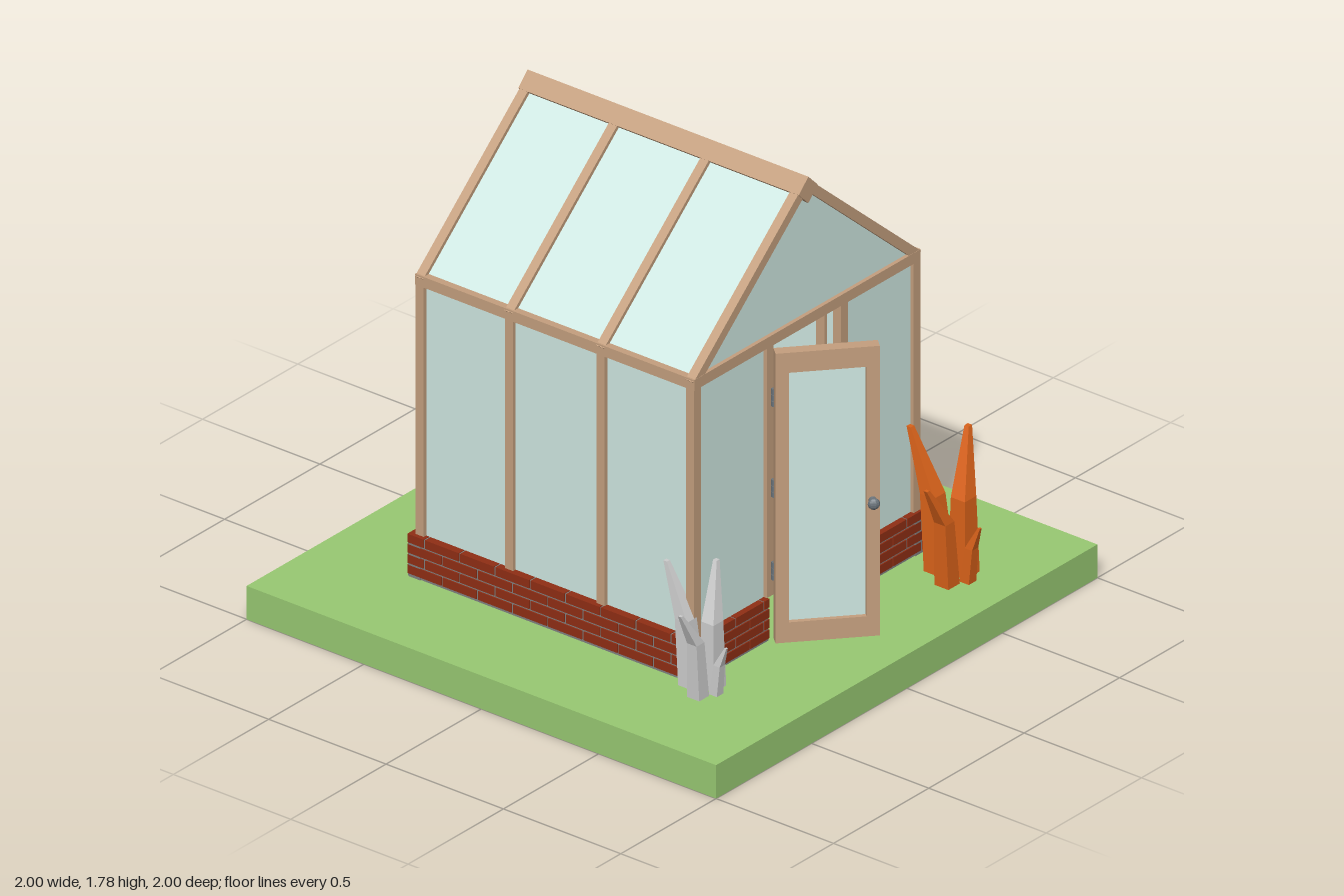
import * as THREE from 'three';

const mat = (color, extra = {}) => new THREE.MeshStandardMaterial({ color, flatShading: true, ...extra });
const M = {
  grass: mat(0x98c972), wood: mat(0xc49f7e), glass: mat(0xcfe8e2, { side: THREE.DoubleSide }),
  brick: mat(0x8f2e14), mortar: mat(0x808080), metal: mat(0x6c757c), grey: mat(0xcccccc),
  orange: mat(0xd9621a), pink: mat(0xdd96d0), pale: mat(0xcfe8e2), stem: mat(0x6f9a4c),
};

function add(parent, name, geo, material, x = 0, y = 0, z = 0) {
  const m = new THREE.Mesh(geo, material);
  m.name = name;
  m.position.set(x, y, z);
  parent.add(m);
  return m;
}
const box = (p, name, material, w, h, d, x, y, z) => add(p, name, new THREE.BoxGeometry(w, h, d), material, x, y, z);
function group(parent, name, x = 0, y = 0, z = 0) {
  const g = new THREE.Group();
  g.name = name;
  g.position.set(x, y, z);
  parent.add(g);
  return g;
}

const H = 0.576;                       // half distance between corner posts
const T = 0.035;                       // timber thickness
const BASE = 0.285, EAVE = 1.24, RIDGE = 1.747;
const GROUND = 0.125;
const posts = [-H, -0.195, 0.195, H];

// one length of low wall facing +z, mortar core with staggered bricks
function brickWall(parent, from, to) {
  const len = 0.15, gap = 0.007, rowH = 0.0385, half = 0.609;
  box(parent, 'mortar', M.mortar, to - from, 0.155, 0.05, (from + to) / 2, 0.2055, half - 0.029);
  for (let row = 0; row < 4; row++) {
    for (let a = -half - (row % 2) * len / 2; a < half; a += len) {
      const l = Math.max(a, from), r = Math.min(a + len - gap, to);
      if (r - l > 0.015) box(parent, 'brick', M.brick, r - l, rowH - gap, 0.03, (l + r) / 2, 0.135 + (row + 0.5) * rowH, half - 0.0145);
    }
  }
}

function buildBase(house) {
  for (let i = 0; i < 4; i++) {
    const wall = group(house, 'brickWall', 0, 0, -0.006);
    wall.rotation.y = i * Math.PI / 2;
    if (i === 0) {
      brickWall(wall, -0.609, -0.21);
      brickWall(wall, 0.185, 0.609);
    } else brickWall(wall, -0.609, 0.609);
  }
}

function buildWalls(house) {
  const wallH = EAVE - BASE;
  for (let i = 0; i < 4; i++) {
    const wall = group(house, 'wallFrame');
    wall.rotation.y = i * Math.PI / 2;
    // posts, the last corner belongs to the next wall
    posts.slice(0, 3).forEach(x => box(wall, 'post', M.wood, T, wallH, T, x, BASE + wallH / 2, H));
    box(wall, 'topBeam', M.wood, 2 * H + T, 0.04, T + 0.002, 0, EAVE, H);
    for (let k = 0; k < 3; k++) {
      if (i === 0 && k === 1) continue; // doorway
      const a = posts[k], b = posts[k + 1];
      box(wall, 'wallGlass', M.glass, b - a, wallH, 0.008, (a + b) / 2, BASE + wallH / 2, H);
    }
  }
}

function buildRoof(house) {
  const rise = RIDGE - 1.247, angle = Math.atan2(rise, H), len = Math.hypot(rise, H);
  for (const s of [-1, 1]) {
    const slope = group(house, 'roofSlope', s * H / 2, (RIDGE + 1.247) / 2, 0);
    slope.rotation.z = -s * angle;
    posts.forEach(z => box(slope, 'rafter', M.wood, len + 0.012, T, T, s * 0.006, 0, z));
    box(slope, 'roofGlass', M.glass, len, 0.008, 2 * H, 0, 0, 0);
  }
  const ridge = box(house, 'ridgeBeam', M.wood, 0.07, 0.07, 2 * H + 0.044, 0, 1.729, 0);
  ridge.rotation.z = Math.PI / 4;
  // triangular gable glass at both ends
  const tri = new THREE.Shape([[-H, EAVE], [H, EAVE], [0, RIDGE]].map(p => new THREE.Vector2(...p)));
  const geo = new THREE.ExtrudeGeometry(tri, { depth: 0.008, bevelEnabled: false });
  for (const z of [-H, H]) add(house, 'gableGlass', geo, M.glass, 0, 0, z - 0.004);
}

function buildDoor(root) {
  const door = group(root, 'door', -0.205, 0, 0.603);
  door.rotation.y = -0.725;
  const w = 0.35, lo = 0.13, hi = 1.215, d = 0.042;
  for (const x of [0.0225, w - 0.0225]) box(door, 'doorStile', M.wood, 0.045, hi - lo, d, x, (lo + hi) / 2, 0);
  box(door, 'doorTopRail', M.wood, w - 0.09, 0.075, d, w / 2, hi - 0.0375, 0);
  box(door, 'doorBottomRail', M.wood, w - 0.09, 0.075, d, w / 2, lo + 0.0375, 0);
  box(door, 'doorGlass', M.glass, w - 0.09, hi - lo - 0.15, 0.008, w / 2, (lo + hi) / 2, 0);
  // knob
  const stem = add(door, 'knobStem', new THREE.CylinderGeometry(0.01, 0.014, 0.03, 10), M.metal, w - 0.025, 0.64, 0.032);
  stem.rotation.x = Math.PI / 2;
  add(door, 'knob', new THREE.SphereGeometry(0.021, 10, 8), M.metal, w - 0.025, 0.64, 0.05).scale.z = 0.7;
  // hinges between post and door
  for (const y of [0.38, 0.69, 1.03]) {
    const hinge = group(root, 'hinge', -0.188, y, 0.588);
    for (let i = -1; i <= 1; i++) add(hinge, 'hingeKnuckle', new THREE.CylinderGeometry(0.01, 0.01, 0.019, 8), M.metal, 0, i * 0.023, 0);
    box(hinge, 'hingeLeaf', M.metal, 0.008, 0.066, 0.034, -0.003, 0, 0.004);
  }
}

// bent tapering leaf with a square section, through three points
function leafGeometry(path, width) {
  const pos = [], idx = [];
  path.forEach(([x, y, z], i) => {
    const r = width * [0.5, 0.4, 0.12][i];
    for (const [a, b] of [[-1, 1], [1, 1], [1, -1], [-1, -1]]) pos.push(x + a * r, y, z + b * r);
  });
  for (let i = 0; i < 2; i++) for (let k = 0; k < 4; k++) {
    const a = i * 4 + k, b = i * 4 + (k + 1) % 4;
    idx.push(a, b, b + 4, a, b + 4, a + 4);
  }
  idx.push(8, 9, 10, 8, 10, 11, 0, 2, 1, 0, 3, 2);
  const g = new THREE.BufferGeometry();
  g.setAttribute('position', new THREE.Float32BufferAttribute(pos, 3));
  g.setIndex(idx);
  const flat = g.toNonIndexed();
  flat.computeVertexNormals();
  return flat;
}
const leaves = [
  [[[-0.06, 0, 0.01], [-0.075, 0.24, 0.01], [-0.155, 0.385, 0]], 0.06],
  [[[0, 0, -0.07], [0, 0.28, -0.1], [0, 0.5, -0.195]], 0.075],
  [[[0.04, 0, 0], [0.045, 0.28, -0.005], [0.125, 0.5, -0.05]], 0.075],
  [[[0, 0, 0.05], [0, 0.13, 0.065], [0, 0.215, 0.1]], 0.04],
];
function buildLeafClump(root, name, material, x, z, scale) {
  const clump = group(root, name, x, GROUND, z);
  clump.scale.setScalar(scale);
  for (const [path, width] of leaves) add(clump, 'leaf', leafGeometry(path, width), material);
}

// faceted round plant on a stem
function buildRoundPlant(root, name, material, x, y, z, r, flat) {
  const plant = group(root, name, x, 0, z);
  add(plant, 'plantStem', new THREE.CylinderGeometry(0.02, 0.03, y - GROUND, 6), M.stem, 0, (y + GROUND) / 2, 0);
  add(plant, 'plantHead', new THREE.IcosahedronGeometry(r, 1), material, 0, y, 0).scale.y = flat;
}

export function createModel() {
  const root = new THREE.Group();
  root.name = 'greenhouse';
  box(root, 'lawn', M.grass, 2, GROUND, 2, 0, GROUND / 2, 0);
  const house = group(root, 'house', -0.004, 0, -0.014);
  buildBase(house);
  buildWalls(house);
  buildRoof(house);
  buildDoor(root);
  buildLeafClump(root, 'orangePlant', M.orange, 0.53, 0.78, 1);
  buildLeafClump(root, 'greyPlant', M.grey, -0.61, 0.64, 0.86);
  buildRoundPlant(root, 'palePlant', M.pale, -0.17, 0.94, 0.16, 0.265, 0.85);
  buildRoundPlant(root, 'pinkPlant', M.pink, 0.24, 0.69, -0.1, 0.165, 0.8);
  return root;
}
